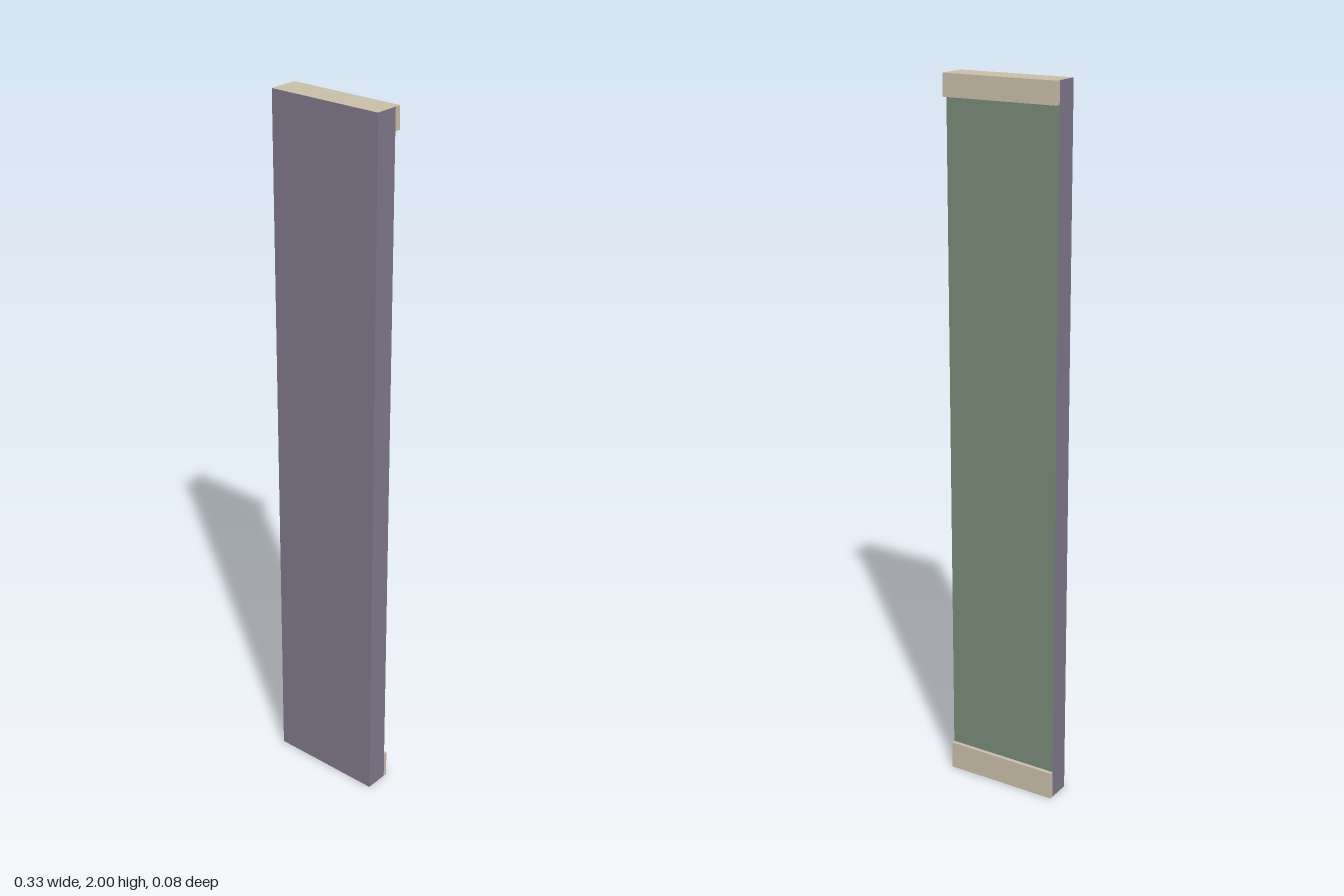
import * as THREE from 'three';

export function createModel() {
  const model = new THREE.Group();
  model.name = 'panel';

  const material = (name, color) => {
    const m = new THREE.MeshStandardMaterial({ color });
    m.name = name;
    return m;
  };
  const purple = material('dusty purple', 0x7f778b);
  const tan = material('warm tan', 0xc9bda8);
  const green = material('sage green', 0x778a75);

  const WIDTH = 0.334, HEIGHT = 2;
  const FRONT = 0.042, BACK = -0.025;

  // Box given by its y and z limits
  const slab = (name, y0, y1, z0, z1, mat) => {
    const mesh = new THREE.Mesh(new THREE.BoxGeometry(WIDTH, y1 - y0, z1 - z0), mat);
    mesh.position.set(0, (y0 + y1) / 2, (z0 + z1) / 2);
    mesh.name = name;
    model.add(mesh);
  };

  // Main board: purple front and sides, tan top edge, green back
  slab('board', 0, HEIGHT, BACK, FRONT, [purple, purple, tan, purple, purple, green]);

  // Raised rails across the back
  slab('topRail', 1.94, HEIGHT, -0.042, BACK, tan);
  slab('bottomRail', 0, 0.08, -0.036, BACK, tan);

  return model;
}
